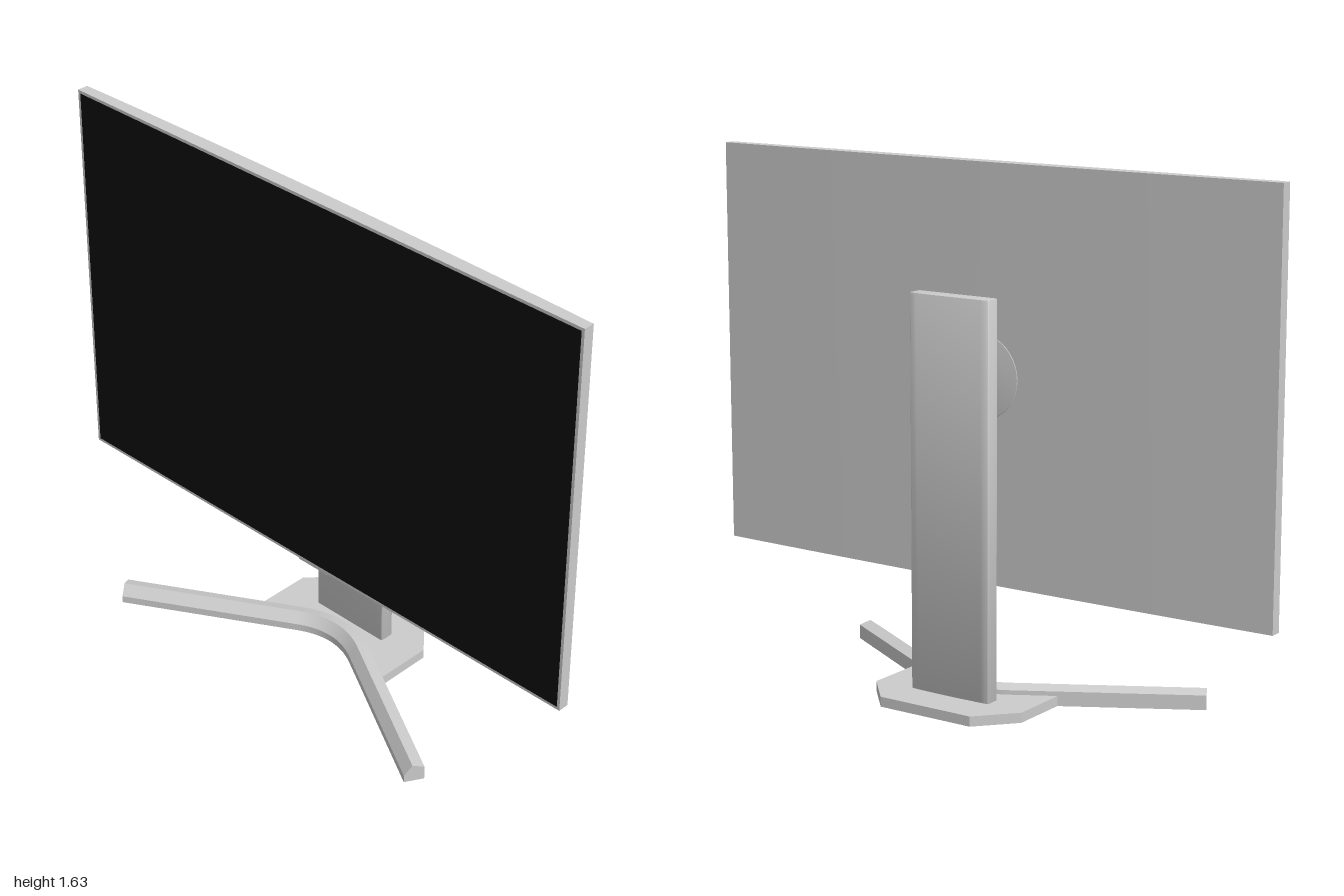
import * as THREE from 'three';
import { toCreasedNormals } from 'three/addons/utils/BufferGeometryUtils.js';

const grey = new THREE.MeshStandardMaterial({ color: 0xcccccc });
const black = new THREE.MeshStandardMaterial({ color: 0x0d0d0d });

export function createModel() {
  const model = new THREE.Group();

  const add = (name, geometry, material = grey, x = 0, y = 0, z = 0) => {
    const mesh = new THREE.Mesh(geometry, material);
    mesh.name = name;
    mesh.position.set(x, y, z);
    model.add(mesh);
    return mesh;
  };

  // Extrudes a plan outline (x, -z) upwards from y0 to y1
  const upright = (shape, y0, y1, bevel = 0) => {
    const g = new THREE.ExtrudeGeometry(shape, {
      depth: y1 - y0 - 2 * bevel, curveSegments: 16,
      bevelEnabled: bevel > 0, bevelSize: bevel, bevelOffset: -bevel,
      bevelThickness: bevel, bevelSegments: 2,
    });
    g.rotateX(-Math.PI / 2).translate(0, y0 + bevel, 0);
    return toCreasedNormals(g, 0.5);
  };

  // Display body: flat front, gently bowed back
  const body = new THREE.Shape();
  body.moveTo(-1, -0.0435);
  body.lineTo(1, -0.0435);
  body.lineTo(1, -0.007);
  body.quadraticCurveTo(0, 0.021, -1, -0.007);
  body.closePath();
  add('displayBody', upright(body, 0.347, 1.635));
  add('screen', new THREE.BoxGeometry(1.98, 1.268, 0.004), black, 0, 0.991, 0.0422);
  add('chinStrip', new THREE.BoxGeometry(0.12, 0.008, 0.022), grey, 0, 0.345, 0.031);

  // Shallow dome, swivel arm and mount as one turned profile facing backwards
  const turned = (name, points) => {
    const g = new THREE.LatheGeometry(points.map(([r, d]) => new THREE.Vector2(r, d)), 40);
    g.rotateX(-Math.PI / 2);
    add(name, toCreasedNormals(g, 0.5), grey, 0, 0.99, 0);
  };
  turned('backDome', [[0.135, 0.004], [0.13, 0.008], [0.09, 0.012], [0.05, 0.0145], [0, 0.015]]);
  turned('swivelArm', [[0.04, 0.01], [0.04, 0.016], [0.044, 0.02], [0.044, 0.081], [0.04, 0.085],
    [0.033, 0.085], [0.033, 0.094]]);
  turned('columnMount', [[0, 0.092], [0.047, 0.092], [0.052, 0.097], [0.052, 0.128]]);

  // Column with rounded corners and slightly bowed back
  const column = new THREE.Shape();
  column.moveTo(-0.135, 0.126);
  column.lineTo(0.135, 0.126);
  column.quadraticCurveTo(0.143, 0.126, 0.143, 0.134);
  column.lineTo(0.143, 0.168);
  column.quadraticCurveTo(0.143, 0.175, 0.133, 0.1765);
  column.quadraticCurveTo(0, 0.183, -0.133, 0.1765);
  column.quadraticCurveTo(-0.143, 0.175, -0.143, 0.168);
  column.lineTo(-0.143, 0.134);
  column.quadraticCurveTo(-0.143, 0.126, -0.135, 0.126);
  add('column', upright(column, 0.02, 1.255, 0.004));

  // Side ports: thin rim with a tongue inside, plus an indicator dot
  const rim = new THREE.Shape();
  rim.moveTo(-0.008, -0.021).lineTo(0.008, -0.021).lineTo(0.008, 0.021).lineTo(-0.008, 0.021);
  const hole = new THREE.Path();
  hole.moveTo(-0.006, -0.019).lineTo(-0.006, 0.019).lineTo(0.006, 0.019).lineTo(0.006, -0.019);
  rim.holes.push(hole);
  for (const y of [0.187, 0.246]) {
    const g = new THREE.ExtrudeGeometry(rim, { depth: 0.002, bevelEnabled: false });
    add('portRim', g.rotateY(Math.PI / 2), grey, 0.142, y, -0.15);
    add('portTongue', new THREE.BoxGeometry(0.002, 0.03, 0.004), grey, 0.1425, y, -0.152);
  }
  add('indicatorDot', new THREE.CylinderGeometry(0.003, 0.003, 0.002, 12).rotateZ(Math.PI / 2),
    grey, 0.1425, 0.135, -0.15);

  // Leg centre line in plan (x, z): two straight arms joined by a bend
  const tip = [0.643, 0.263], slope = 0.577, bend = 0.135;
  const zAt = (x) => tip[1] - slope * (tip[0] - x);
  const path = [[-tip[0], tip[1]]];
  for (let i = 0; i <= 16; i++) {
    const t = i / 16, x = bend * (2 * t - 1);
    path.push([x, (1 - 2 * t * (1 - t)) * zAt(bend) + 2 * t * (1 - t) * zAt(0)]);
  }
  path.push(tip);

  // Base plate: chamfered behind, front edge tucked under the legs
  const plate = new THREE.Shape();
  const back = [[0.27, 0.018], [0.27, -0.185], [0.165, -0.302], [-0.165, -0.302], [-0.27, -0.185], [-0.27, 0.018]];
  const front = path.slice(1, -1).map(([x, z]) => [x, z - 0.005]);
  plate.setFromPoints([...back, ...front].map(([x, z]) => new THREE.Vector2(x, -z)));
  add('basePlate', upright(plate, 0.0005, 0.032));

  // Legs: five-sided section (forward offset, height) swept along the path
  const section = [[-0.032, 0], [0.032, 0], [0.032, 0.024], [0.006, 0.058], [-0.032, 0.046]];
  const n = section.length, positions = [], index = [];
  path.forEach(([x, z], i) => {
    const a = path[Math.max(i - 1, 0)], b = path[Math.min(i + 1, path.length - 1)];
    let dx = b[0] - a[0], dz = b[1] - a[1];
    // keep the straight arms parallel where they meet the bend
    if (i === 1) { dx = 1; dz = -slope; }
    if (i === path.length - 2) { dx = 1; dz = slope; }
    const len = Math.hypot(dx, dz);
    for (const [u, y] of section) positions.push(x - (dz / len) * u, y, z + (dx / len) * u);
    if (i === 0) return;
    for (let j = 0; j < n; j++) {
      const p = (i - 1) * n + j, q = (i - 1) * n + (j + 1) % n;
      index.push(p, p + n, q, q, p + n, q + n);
    }
  });
  const last = (path.length - 1) * n;
  for (let k = 1; k < n - 1; k++) index.push(0, k, k + 1, last, last + k + 1, last + k);
  const legs = new THREE.BufferGeometry();
  legs.setAttribute('position', new THREE.Float32BufferAttribute(positions, 3));
  legs.setIndex(index);
  add('legs', toCreasedNormals(legs, 0.4));

  return model;
}
